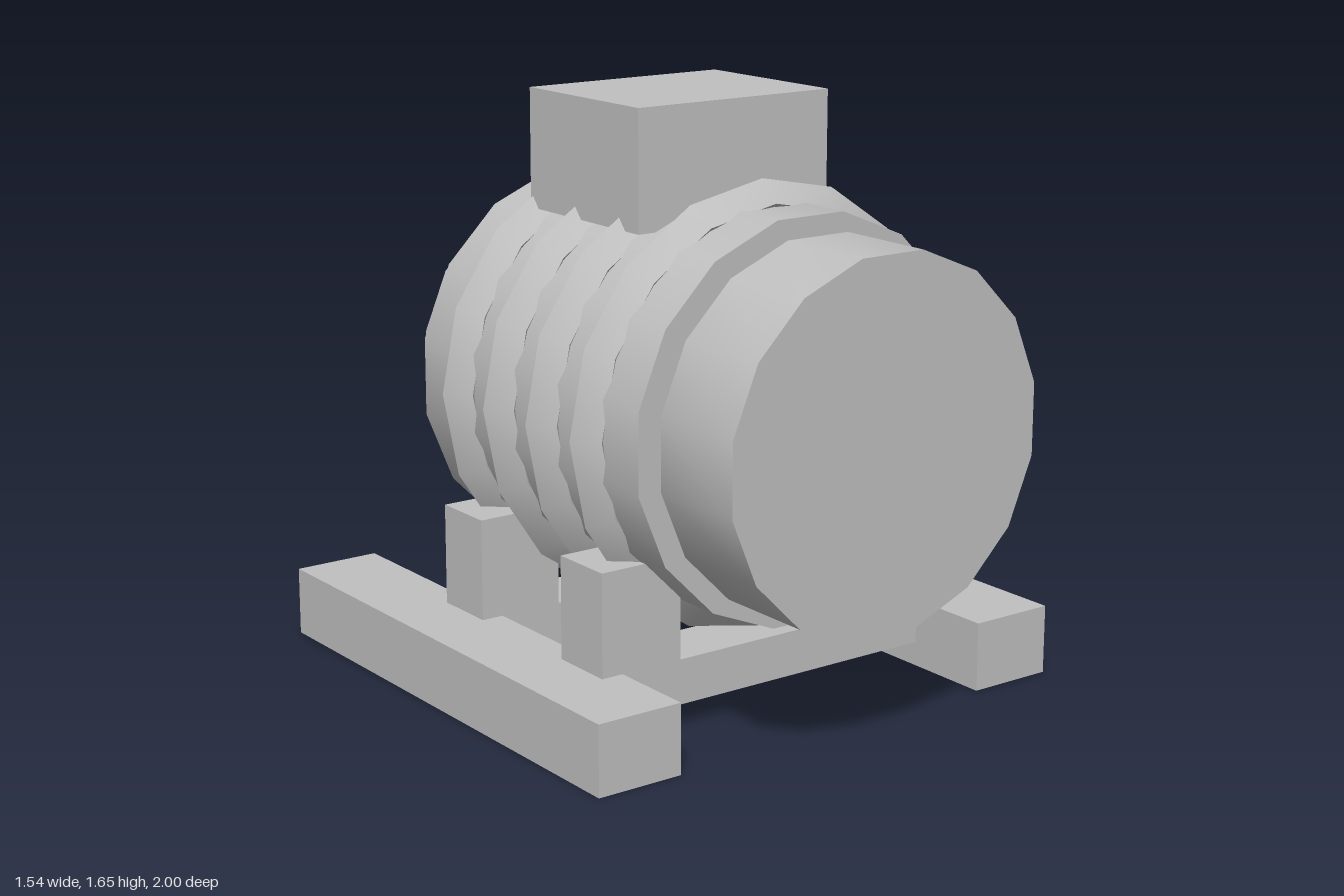
import * as THREE from 'three';
import { toCreasedNormals } from 'three/addons/utils/BufferGeometryUtils.js';

const AXIS_Y = 0.83;

export function createModel() {
  const motor = new THREE.Group();
  motor.name = 'electricMotor';
  const grey = new THREE.MeshStandardMaterial({ color: 0xc0c0c0 });
  grey.name = 'machineGrey';

  const add = (name, geometry, x = 0, y = 0, z = 0) => {
    const mesh = new THREE.Mesh(geometry, grey);
    mesh.name = name;
    mesh.position.set(x, y, z);
    motor.add(mesh);
  };

  // box given by its limits on each axis
  const box = (name, x0, x1, y0, y1, z0, z1) =>
    add(name, new THREE.BoxGeometry(x1 - x0, y1 - y0, z1 - z0),
      (x0 + x1) / 2, (y0 + y1) / 2, (z0 + z1) / 2);

  // cylinder lying along z, centred on the motor axis
  const drum = (name, radius, z0, z1, sides, turn) => {
    const g = new THREE.CylinderGeometry(radius, radius, z1 - z0, sides, 1, false, turn);
    g.rotateX(Math.PI / 2);
    add(name, toCreasedNormals(g, 0.5), 0, AXIS_Y, (z0 + z1) / 2);
  };

  // motor casing, fan cover and shaft
  const half = Math.PI / 16;
  drum('fanCover', 0.515, 0.705, 1, 16, half);
  drum('endBell', 0.465, -0.51, 0.705, 16, half);
  drum('body', 0.565, -0.355, 0.675, 16, half);
  drum('shaft', 0.13, -1, -0.51, 10, 0);

  // cooling ribs with a pointed section
  for (let i = 0; i < 4; i++) {
    const rib = toCreasedNormals(new THREE.TorusGeometry(0.565, 0.06, 4, 16), 0.5);
    add('coolingRib', rib, 0, AXIS_Y, 0.47 - i * 0.206);
  }

  // terminal box with its cover plate
  box('terminalBox', -0.32, 0.32, 1.32, 1.655, -0.158, 0.352);
  box('terminalCover', -0.268, 0.268, 1.345, 1.6, -0.21, -0.158);

  // U-shaped cradles under the body
  const u = new THREE.Shape([
    [-0.58, 0.07], [0.58, 0.07], [0.58, 0.488], [0.325, 0.488],
    [0.325, 0.198], [-0.325, 0.198], [-0.325, 0.488], [-0.58, 0.488],
  ].map(([x, y]) => new THREE.Vector2(x, y)));
  for (const z of [0.358, -0.222]) {
    add('cradle', new THREE.ExtrudeGeometry(u, { depth: 0.19, bevelEnabled: false }), 0, 0, z);
  }

  // base rails
  box('leftRail', 0.515, 0.772, 0, 0.198, -0.742, 0.805);
  box('rightRail', -0.772, -0.515, 0, 0.198, -0.742, 0.805);

  return motor;
}
